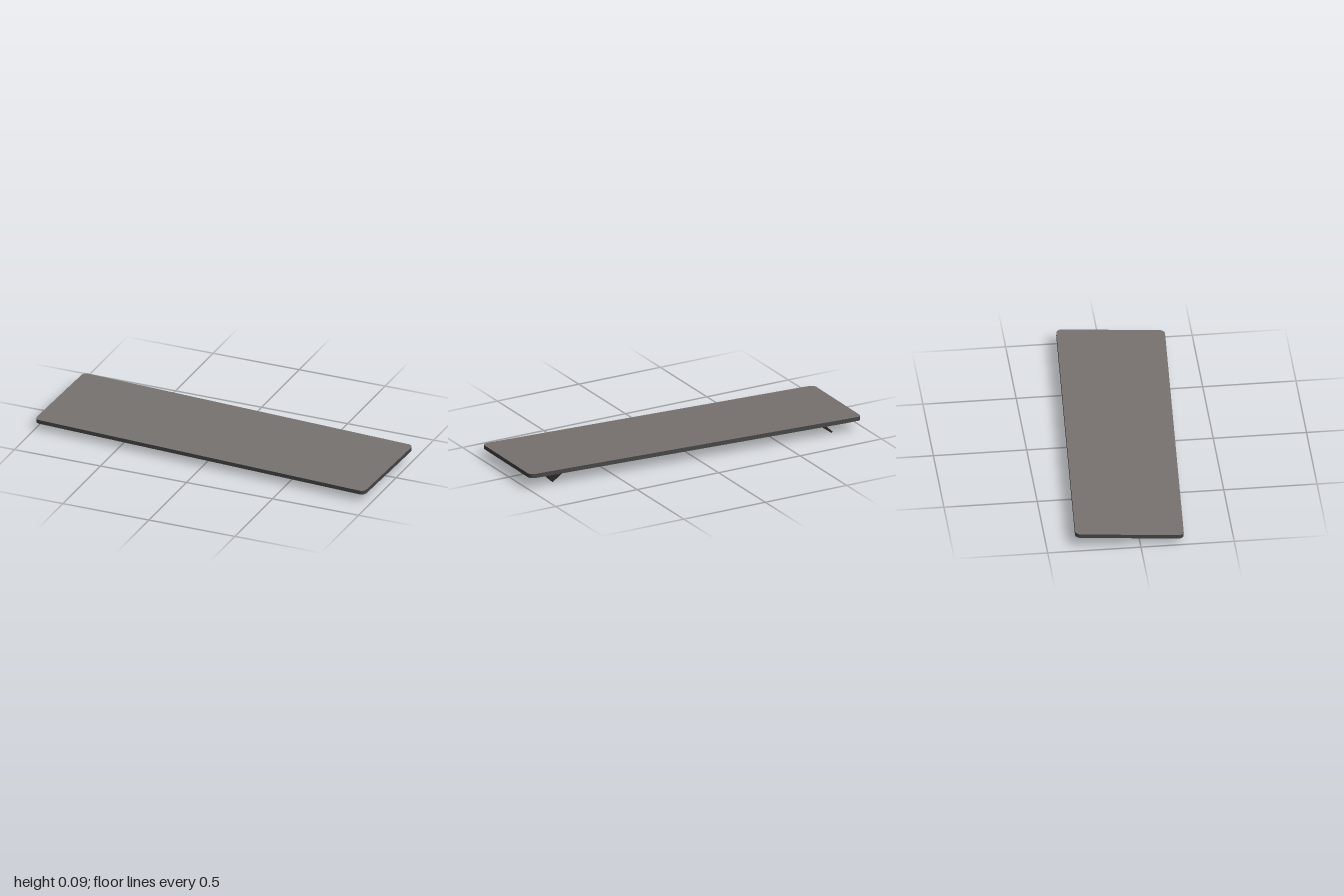
import * as THREE from 'three';

const paint = (name, color) => {
  const m = new THREE.MeshStandardMaterial({ color });
  m.name = name;
  return m;
};

// Rounded rectangular sheet lying flat, spanning y0 to y1, pulled in by inset
function roundedSheet(name, inset, y0, y1, materials) {
  const w = 0.986 - inset, d = 0.29 - inset, r = 0.03;
  const s = new THREE.Shape();
  s.absarc(w - r, d - r, r, 0, Math.PI / 2);
  s.absarc(-w + r, d - r, r, Math.PI / 2, Math.PI);
  s.absarc(-w + r, -d + r, r, Math.PI, Math.PI * 1.5);
  s.absarc(w - r, -d + r, r, Math.PI * 1.5, Math.PI * 2);
  const geo = new THREE.ExtrudeGeometry(s, { depth: y1 - y0, bevelEnabled: false, curveSegments: 8 });
  geo.rotateX(-Math.PI / 2);
  geo.translate(0, y0, 0);
  const mesh = new THREE.Mesh(geo, materials);
  mesh.name = name;
  return mesh;
}

export function createModel() {
  const panel = paint('warm grey panel', 0x777270);
  const frame = paint('dark grey frame', 0x444444);
  const footPaint = paint('dark brown foot', 0x2e2424);

  // Tilted and slightly turned tray
  const tray = new THREE.Group();
  tray.name = 'tray';
  tray.position.y = 0.0585;
  tray.rotation.set(0.0415, -0.06, 0.0026, 'YXZ');

  // Stepped stack, from the top surface down to the underside
  tray.add(
    roundedSheet('topPanel', 0, 0.013, 0.017, [panel, frame]),
    roundedSheet('rim', 0, -0.005, 0.013, frame),
    roundedSheet('stepLayer', 0.015, -0.011, -0.005, frame),
    roundedSheet('underside', 0.028, -0.017, -0.011, [panel, frame]),
  );

  // Splayed flip-out feet under the back edge
  for (const side of [1, -1]) {
    const foot = new THREE.Mesh(new THREE.BoxGeometry(0.075, 0.009, 0.09), footPaint);
    foot.name = side > 0 ? 'leftFoot' : 'rightFoot';
    foot.position.set(side * 0.802, -0.037, -0.196);
    foot.rotation.set(-0.08, 0, -side * 0.63);
    tray.add(foot);
  }

  const model = new THREE.Group();
  model.name = 'tiltedTray';
  model.add(tray);
  return model;
}
